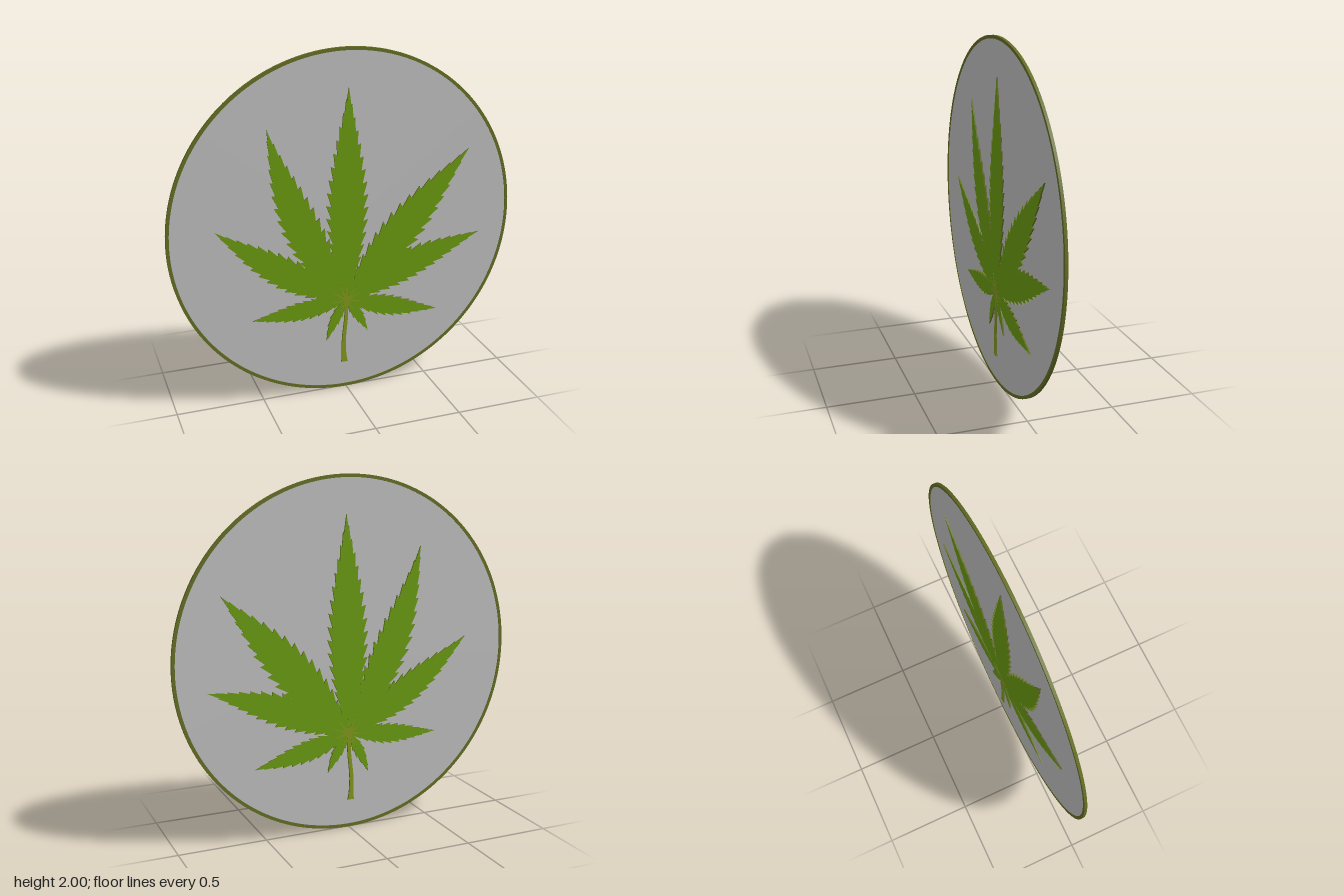
import * as THREE from 'three';

const mat = (name, color) => {
  const m = new THREE.MeshStandardMaterial({ color });
  m.name = name;
  return m;
};

export function createModel() {
  const grey = mat('disc grey', 0xc0c0c0);
  const green = mat('leaf green', 0x6b9c10);
  const olive = mat('edge olive', 0x656f24);
  const lightOlive = mat('stem olive', 0x82981c);

  const model = new THREE.Group();
  model.name = 'leafMedallion';

  // Extrudes an outline symmetrically about z = 0
  const slab = (name, shape, depth, materials, curveSegments = 12) => {
    const geo = new THREE.ExtrudeGeometry(shape, { depth, bevelEnabled: false, curveSegments });
    geo.translate(0, 0, -depth / 2);
    const mesh = new THREE.Mesh(geo, materials);
    mesh.name = name;
    model.add(mesh);
    return mesh;
  };

  // Round backing disc and its rim
  const disc = new THREE.Mesh(new THREE.CylinderGeometry(0.985, 0.985, 0.01, 96), grey);
  disc.name = 'disc';
  disc.rotation.x = Math.PI / 2;
  disc.position.y = 1;
  model.add(disc);

  const ring = new THREE.Shape().absarc(0, 0, 1, 0, Math.PI * 2);
  ring.holes.push(new THREE.Path().absarc(0, 0, 0.982, 0, Math.PI * 2, true));
  slab('rim', ring, 0.016, olive, 96).position.y = 1;

  // Serrated leaflet from the hub to a tip; bow bends the midline to its left
  const hub = new THREE.Vector2(0, 0.56);
  const leafletShape = (tipX, tipY, halfWidth, bow, teeth) => {
    const along = new THREE.Vector2(tipX, tipY).sub(hub);
    const normal = new THREE.Vector2(-along.y, along.x).normalize();
    const at = (t, offset) => hub.clone()
      .addScaledVector(along, t)
      .addScaledVector(normal, offset + bow * 4 * t * (1 - t));
    const width = (t) => halfWidth * Math.pow(Math.max(0, Math.sin(Math.PI * Math.pow(t, 0.85))), 1.2);
    const edge = (side) => {
      const pts = [at(0, side * 0.004)];
      for (let i = 1; i <= teeth; i++) {
        const t = 0.05 + 0.9 * (i - (side > 0 ? 0 : 0.4)) / teeth;
        const w = width(t);
        // forward-pointing tooth, then the notch behind it
        pts.push(at(t, side * (w * 1.06 + 0.003)), at(t - 0.12 / teeth, side * (w * 0.8 + 0.002)));
      }
      return pts;
    };
    return new THREE.Shape([...edge(-1), at(1, 0), ...edge(1).reverse()]);
  };

  // tip x, tip y, half width, bow, teeth per side
  const leaflets = [
    ['topLeaflet', 0.015, 1.785, 0.113, 0, 15],
    ['upperRightLeaflet', -0.44, 1.595, 0.105, 0.055, 14],
    ['upperLeftLeaflet', 0.73, 1.385, 0.115, 0.005, 14],
    ['middleRightLeaflet', -0.74, 1.06, 0.088, 0.025, 13],
    ['middleLeftLeaflet', 0.815, 0.875, 0.09, 0.02, 13],
    ['lowerRightLeaflet', -0.55, 0.51, 0.055, 0.008, 10],
    ['lowerLeftLeaflet', 0.56, 0.42, 0.06, -0.01, 10],
    ['smallRightLeaflet', -0.12, 0.32, 0.03, -0.008, 5],
    ['smallLeftLeaflet', 0.13, 0.345, 0.03, 0.008, 5],
  ];
  for (const [name, ...spec] of leaflets) {
    slab(name, leafletShape(...spec), 0.026, [green, olive]);
    // Short tapered vein at the base of each leaflet
    const dir = new THREE.Vector2(spec[0], spec[1]).sub(hub);
    const len = Math.min(0.11, dir.length() * 0.35);
    dir.normalize();
    const side = new THREE.Vector2(-dir.y, dir.x).multiplyScalar(0.009);
    const vein = new THREE.Shape([
      hub.clone().sub(side), hub.clone().addScaledVector(dir, len), hub.clone().add(side),
    ]);
    slab(name + 'Vein', vein, 0.028, [lightOlive, olive]);
  }

  // Hub where the leaflets meet
  slab('hub', new THREE.Shape().absarc(hub.x, hub.y, 0.022, 0, Math.PI * 2), 0.028, [lightOlive, olive]);

  // Curved stem, flared at the foot
  const midline = new THREE.SplineCurve([
    new THREE.Vector2(0, 0.56), new THREE.Vector2(-0.001, 0.45),
    new THREE.Vector2(-0.015, 0.3), new THREE.Vector2(-0.011, 0.165),
  ]);
  const leftSide = [], rightSide = [];
  for (let i = 0; i <= 16; i++) {
    const t = i / 16;
    const p = midline.getPoint(t);
    const w = 0.009 + 0.003 * t + 0.008 * Math.pow(t, 10);
    leftSide.push(new THREE.Vector2(p.x + w, p.y));
    rightSide.unshift(new THREE.Vector2(p.x - w, p.y));
  }
  slab('stem', new THREE.Shape([...leftSide, ...rightSide]), 0.028, [lightOlive, olive]);

  return model;
}
